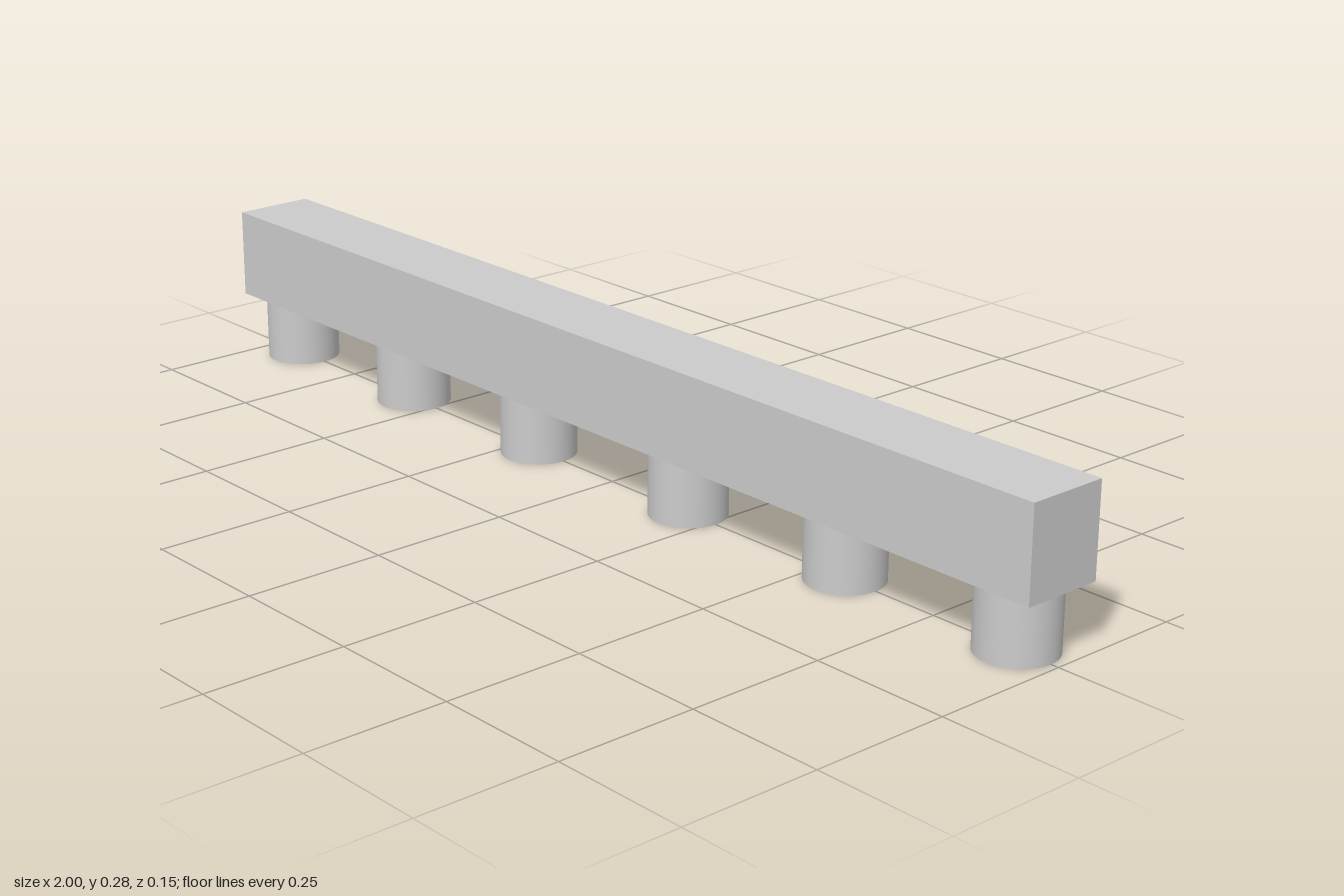
import * as THREE from 'three';

export function createModel() {
  const group = new THREE.Group();
  const material = new THREE.MeshStandardMaterial({ color: 0xcccccc });
  const legHeight = 0.117, beamHeight = 0.163;

  // Long rectangular beam
  const beam = new THREE.Mesh(new THREE.BoxGeometry(2, beamHeight, 0.148), material);
  beam.name = 'beam';
  beam.position.y = legHeight + beamHeight / 2;
  group.add(beam);

  // Row of round legs under the beam, slightly unevenly spaced
  const legGeometry = new THREE.CylinderGeometry(0.068, 0.068, legHeight, 48);
  [-0.915, -0.562, -0.198, 0.193, 0.56, 0.918].forEach((x, i) => {
    const leg = new THREE.Mesh(legGeometry, material);
    leg.name = `leg${i + 1}`;
    leg.position.set(x, legHeight / 2, 0);
    group.add(leg);
  });

  return group;
}
